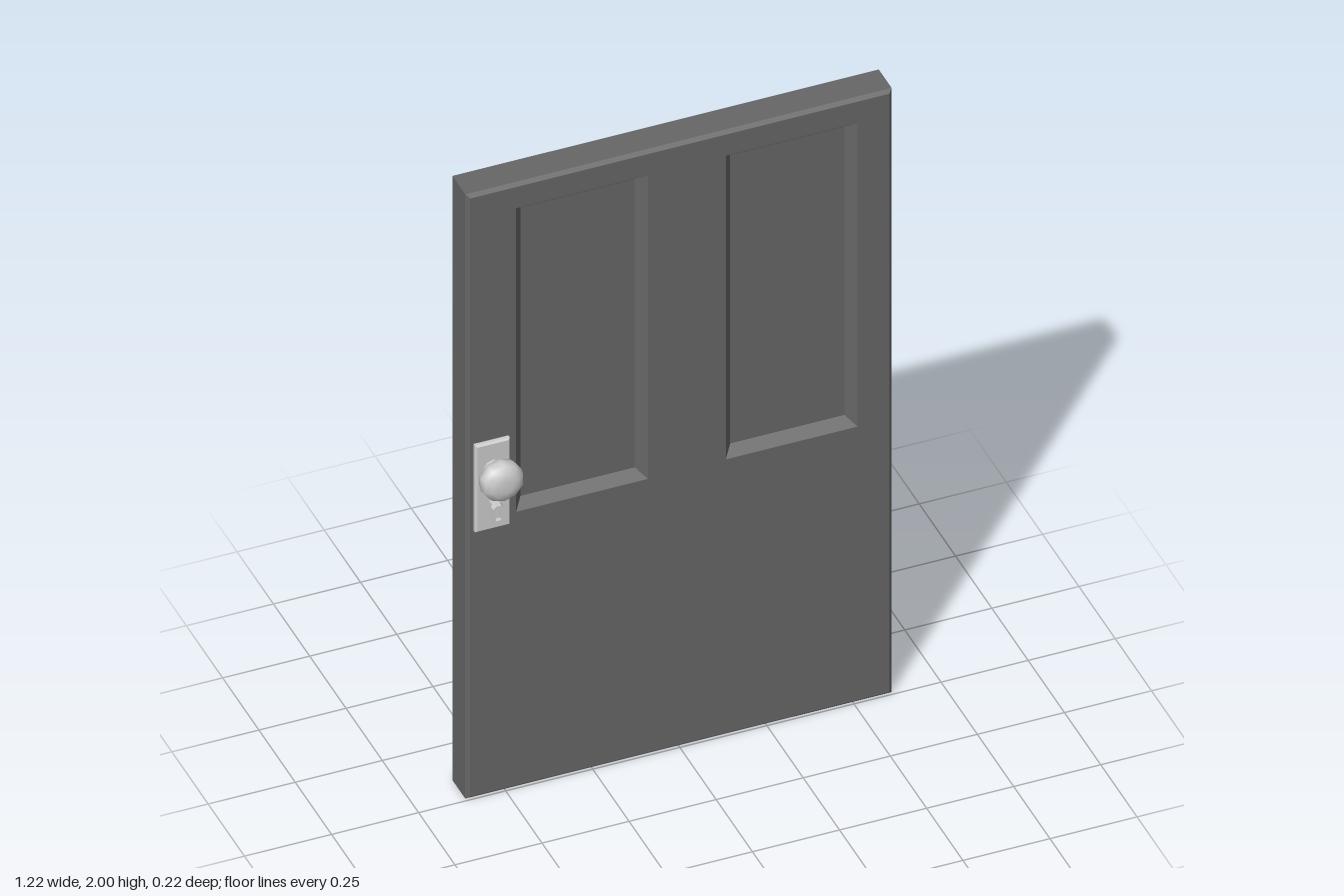
import * as THREE from 'three';

const W = 0.612, H = 2, T = 0.108, C = 0.01; // half width, height, thickness, edge chamfer

// corners of a rectangle [x0, x1, y0, y1], inset by i, at depth z
const corners = ([x0, x1, y0, y1], i, z) => [
  [x0 + i, y0 + i, z], [x1 - i, y0 + i, z], [x1 - i, y1 - i, z], [x0 + i, y1 - i, z],
];

// flat-faced skin joining successive rectangular loops
function skin(loops) {
  const pos = [];
  for (let k = 0; k + 1 < loops.length; k++) {
    const a = loops[k], b = loops[k + 1];
    for (let i = 0; i < 4; i++) {
      const j = (i + 1) % 4;
      pos.push(...a[i], ...b[i], ...b[j], ...a[i], ...b[j], ...a[j]);
    }
  }
  const g = new THREE.BufferGeometry();
  g.setAttribute('position', new THREE.Float32BufferAttribute(pos, 3));
  g.computeVertexNormals();
  return g;
}

function rectPath(PathClass, rect, inset = 0) {
  const p = new PathClass();
  p.setFromPoints(corners(rect, inset, 0).map(([x, y]) => new THREE.Vector2(x, y)));
  p.closePath();
  return p;
}

function add(parent, name, geometry, material, x = 0, y = 0, z = 0) {
  const m = new THREE.Mesh(geometry, material);
  m.name = name;
  m.position.set(x, y, z);
  parent.add(m);
  return m;
}

// one face of the door with its sunken panels
function doorFace(name, panels, material) {
  const g = new THREE.Group();
  g.name = name;
  const shape = rectPath(THREE.Shape, [-W, W, 0, H], C);
  panels.forEach((r) => shape.holes.push(rectPath(THREE.Path, r)));
  add(g, 'faceFrame', new THREE.ShapeGeometry(shape), material);
  const slope = 0.025, depth = 0.03;
  panels.forEach((r) => {
    add(g, 'panelMoulding', skin([corners(r, slope, -depth), corners(r, 0, 0)]), material);
    add(g, 'panelFloor', new THREE.ShapeGeometry(rectPath(THREE.Shape, r, slope)), material, 0, 0, -depth);
  });
  return g;
}

export function createModel() {
  const paint = new THREE.MeshStandardMaterial({ color: 0x666666 });
  paint.name = 'dark grey paint';
  const metal = new THREE.MeshStandardMaterial({ color: 0xcccccc });
  metal.name = 'pale metal';

  const model = new THREE.Group();
  model.name = 'door';

  // chamfered outer edge
  const outline = [-W, W, 0, H];
  add(model, 'doorEdge', skin([
    corners(outline, C, 0), corners(outline, 0, -C),
    corners(outline, 0, C - T), corners(outline, C, -T),
  ]), paint);

  // front and back faces share the same panel positions
  const panels = [[-0.47, -0.092, 0.915, 1.92], [0.132, 0.51, 0.915, 1.92]];
  model.add(doorFace('frontFace', panels, paint));
  const back = doorFace('backFace', panels.map(([a, b, c, d]) => [-b, -a, c, d]), paint);
  back.rotation.y = Math.PI;
  back.position.z = -T;
  model.add(back);

  // lock plate with knob and thumb turn
  const lock = new THREE.Group();
  lock.name = 'lockSet';
  lock.position.x = -0.542;
  model.add(lock);

  const plate = [-0.05, 0.05, 0.888, 1.175];
  add(lock, 'lockPlateEdge', skin([
    corners(plate, 0.005, 0.014), corners(plate, 0, 0.009), corners(plate, 0, 0),
  ]), metal);
  add(lock, 'lockPlateFace', new THREE.ShapeGeometry(rectPath(THREE.Shape, plate, 0.005)), metal, 0, 0, 0.014);

  const stem = add(lock, 'knobStem', new THREE.CylinderGeometry(0.028, 0.028, 0.034, 10, 1, true), metal, 0, 1.09, 0.027);
  stem.rotation.x = Math.PI / 2;

  const profile = [[0.02, 0.036], [0.042, 0.04], [0.057, 0.052], [0.062, 0.07],
    [0.057, 0.09], [0.04, 0.104], [0.02, 0.108], [0, 0.108]];
  const knob = add(lock, 'knob',
    new THREE.LatheGeometry(profile.map(([r, z]) => new THREE.Vector2(r, z)), 10), metal, 0, 1.09, 0);
  knob.rotation.x = Math.PI / 2;

  // thumb turn: neck and a flared head with a slot
  add(lock, 'turnNeck', new THREE.BoxGeometry(0.022, 0.044, 0.028), metal, 0, 0.963, 0.028);
  const head = new THREE.Shape([[-0.016, -0.02], [-0.008, -0.029], [0.008, -0.029], [0.016, -0.02],
    [0.016, 0.02], [0.008, 0.029], [-0.008, 0.029], [-0.016, 0.02]].map((p) => new THREE.Vector2(...p)));
  head.holes.push(rectPath(THREE.Path, [-0.008, 0.008, -0.019, 0.019]));
  add(lock, 'turnHead',
    new THREE.ExtrudeGeometry(head, { depth: 0.018, bevelEnabled: false }), metal, 0, 0.963, 0.036);

  return model;
}
